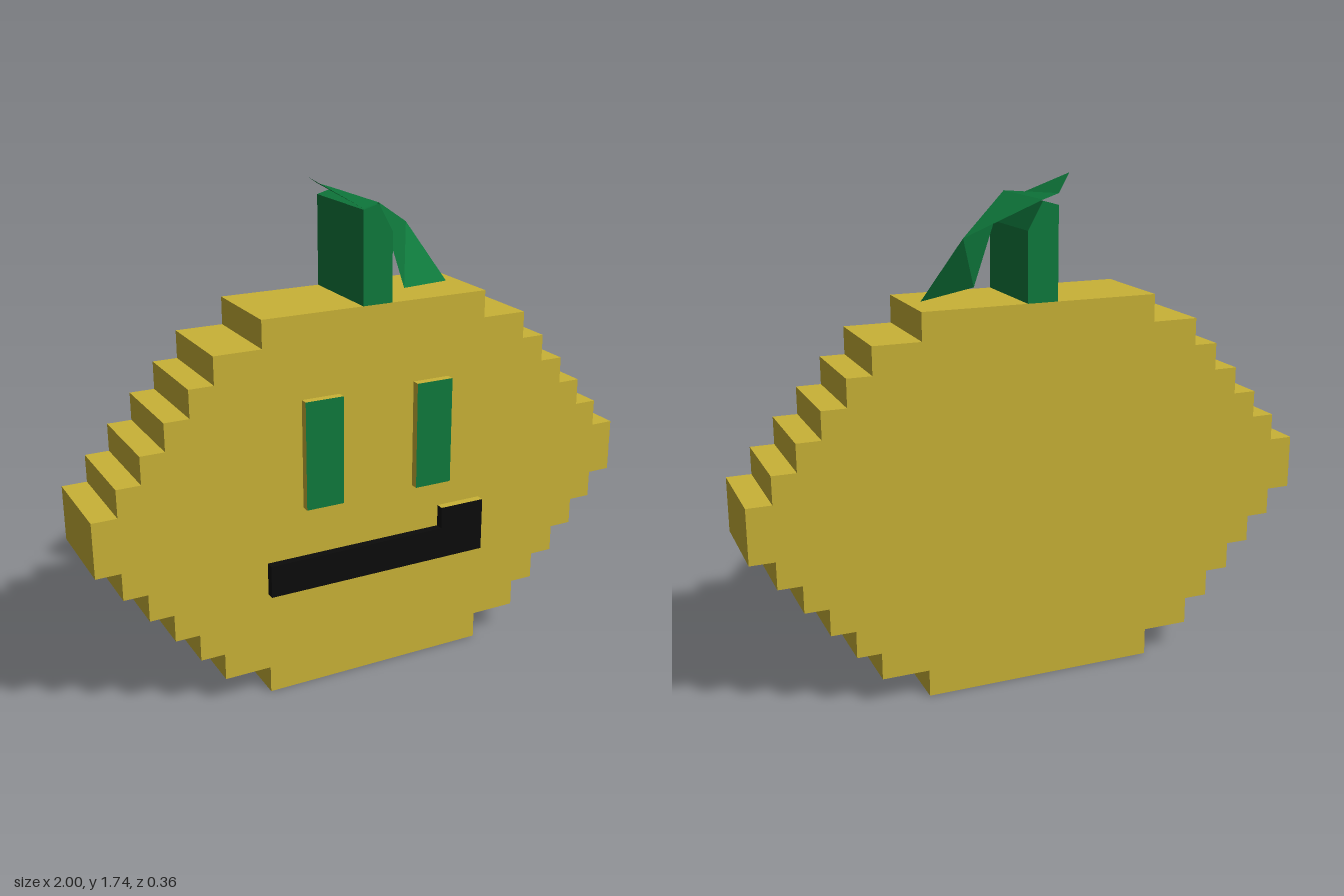
import * as THREE from 'three';

const material = (name, color, side = THREE.FrontSide) => {
  const m = new THREE.MeshStandardMaterial({ color, side });
  m.name = name;
  return m;
};

export function createModel() {
  const yellow = material('yellow', 0xc9b236);
  const green = material('green', 0x0f7a3d, THREE.DoubleSide);
  const black = material('black', 0x0b0b0b);
  const model = new THREE.Group();
  const BACK = -0.18, FRONT = 0.155, FACE = 0.184;

  const add = (name, geometry, mat) => {
    const mesh = new THREE.Mesh(geometry, mat);
    mesh.name = name;
    model.add(mesh);
    return mesh;
  };
  const slab = (points) => {
    const shape = new THREE.Shape(points.map(([x, y]) => new THREE.Vector2(x, y)));
    return new THREE.ExtrudeGeometry(shape, { depth: FRONT - BACK, bevelEnabled: false })
      .translate(0, 0, BACK);
  };

  // Stepped body: half widths of the rows, mirrored above and below the middle
  const widths = [0.415, 0.58, 0.665, 0.75, 0.833, 0.915, 1, 1,
    0.915, 0.833, 0.75, 0.665, 0.58, 0.415];
  const row = 1.335 / widths.length;
  const right = widths.flatMap((w, i) => [[w, i * row], [w, (i + 1) * row]])
    .filter(([x, y], i, all) => !(i && i < all.length - 1 && all[i - 1][0] === x && all[i + 1][0] === x));
  const left = right.map(([x, y]) => [-x, y]).reverse();
  add('body', slab([...right, ...left]), yellow);

  // Raised blocks of the face, coloured per side: +x, -x, +y, -y, +z, -z
  const block = (name, x0, x1, y0, y1, mats) => {
    const mesh = add(name, new THREE.BoxGeometry(x1 - x0, y1 - y0, FACE - FRONT), mats);
    mesh.position.set((x0 + x1) / 2, (y0 + y1) / 2, (FRONT + FACE) / 2);
  };
  const eye = [yellow, yellow, yellow, yellow, green, yellow];
  block('rightEye', -0.28, -0.142, 0.67, 1.05, eye);
  block('leftEye', 0.138, 0.275, 0.67, 1.05, eye);
  block('mouth', -0.415, 0.245, 0.378, 0.493, [black, black, black, yellow, black, yellow]);
  block('mouthCorner', 0.245, 0.415, 0.378, 0.572, [yellow, black, yellow, yellow, black, yellow]);

  // Stem
  add('stem', slab([[-0.055, 1.335], [0.052, 1.335], [0.052, 1.57], [0, 1.663], [-0.055, 1.648]]), green);

  // Folded leaf draped over the stem
  const tip = [-0.165, 1.735, -0.02];
  const c = [-0.055, 1.652, FRONT], d = [-0.055, 1.685, BACK];
  const a = [0, 1.667, FRONT], b = [0, 1.667, BACK];
  const p = [0.145, 1.355, 0.07], q = [0.24, 1.545, -0.09];
  const end = [0.365, 1.337, -0.02];
  const triangles = [c, d, tip, c, a, d, a, b, d, a, p, q, a, q, b, p, end, q];
  const leaf = new THREE.BufferGeometry();
  leaf.setAttribute('position', new THREE.Float32BufferAttribute(triangles.flat(), 3));
  leaf.computeVertexNormals();
  add('leaf', leaf, green);

  return model;
}
